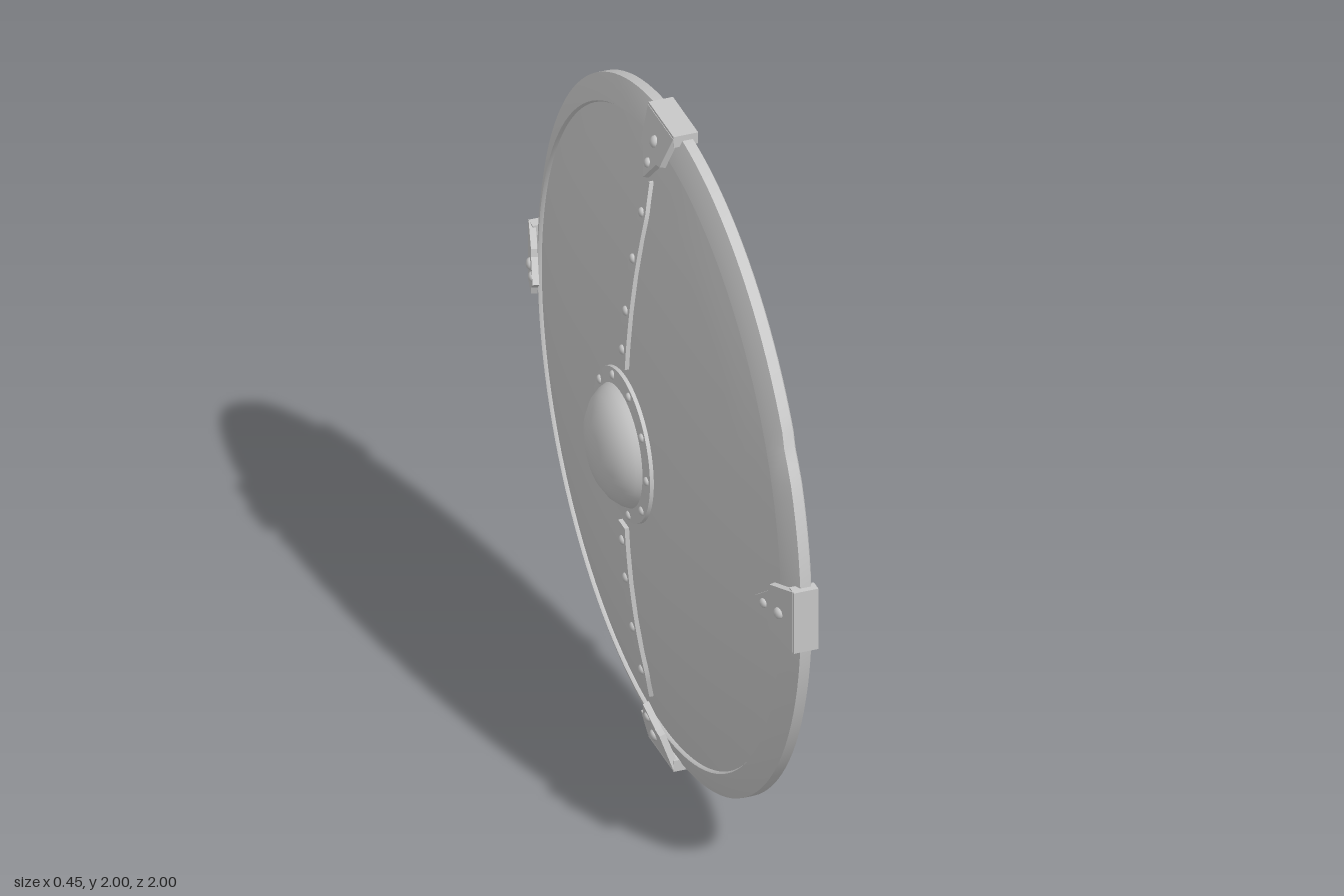
import * as THREE from 'three';
import { toCreasedNormals } from 'three/addons/utils/BufferGeometryUtils.js';

const gray = new THREE.MeshStandardMaterial({ color: 0xc8c8c8 });
gray.name = 'plain gray';

// Height of the domed board towards -x at radius r
const domeHeight = (r) => 0.135 * (1 - Math.pow(r / 0.99, 2.4));
const v2 = (a) => a.map(([x, y]) => new THREE.Vector2(x, y));

function add(parent, name, geometry) {
  const mesh = new THREE.Mesh(geometry, gray);
  mesh.name = name;
  parent.add(mesh);
  return mesh;
}

// Turned part whose axis points along -x
function turned(points, segments) {
  const g = new THREE.LatheGeometry(v2(points), segments);
  g.rotateZ(Math.PI / 2);
  return toCreasedNormals(g, 0.6);
}

function rivet(parent, x, y, z, r) {
  const m = add(parent, 'rivet', new THREE.SphereGeometry(r, 12, 8));
  m.position.set(x, y, z);
  m.scale.x = 0.7;
}

// Tube with an elliptical section that varies along the path
function sweep(points, widths, depths, rings = 64, sides = 16) {
  const curve = new THREE.CatmullRomCurve3(points.map((p) => new THREE.Vector3(...p)));
  const g = new THREE.TubeGeometry(curve, rings, 1, sides, false);
  const frames = curve.computeFrenetFrames(rings, false);
  const pos = g.attributes.position;
  const sample = (list, t) => {
    const f = t * (list.length - 1), i = Math.min(Math.floor(f), list.length - 2);
    const k = f - i, s = k * k * (3 - 2 * k);
    return list[i] + (list[i + 1] - list[i]) * s;
  };
  for (let i = 0; i <= rings; i++) {
    // match the path parameter so each radius belongs to its control point
    const t = curve.getUtoTmapping(i / rings);
    const c = curve.getPointAt(i / rings);
    const w = sample(widths, t), d = sample(depths, t);
    for (let j = 0; j <= sides; j++) {
      const a = (j / sides) * Math.PI * 2;
      const p = c.clone()
        .addScaledVector(frames.normals[i], -Math.cos(a) * w)
        .addScaledVector(frames.binormals[i], Math.sin(a) * d);
      pos.setXYZ(i * (sides + 1) + j, p.x, p.y, p.z);
    }
  }
  g.computeVertexNormals();
  return g;
}

// Bent, tapered metal strip with rivets on the outer face
function makeStrip() {
  const group = new THREE.Group();
  group.name = 'spineStrip';
  const g = new THREE.BoxGeometry(0.024, 0.56, 0.05, 1, 20, 1);
  const p = g.attributes.position;
  for (let i = 0; i < p.count; i++) {
    const r = p.getY(i) + 0.53;
    const taper = r > 0.72 ? 1 - 0.85 * (r - 0.72) / 0.09 : 1;
    p.setXYZ(i, p.getX(i) - domeHeight(r), r, p.getZ(i) * taper);
  }
  add(group, 'strip', toCreasedNormals(g, 0.6));
  for (const r of [0.3, 0.42, 0.58, 0.72]) rivet(group, -domeHeight(r) - 0.012, r, 0, 0.014);
  return group;
}

// Clip folded around the rim, pointing to the centre
function makeClip() {
  const group = new THREE.Group();
  group.name = 'rimClip';
  const outline = [[-0.095, 0], [-0.07, -0.1], [-0.048, -0.105], [0, -0.17], [0.048, -0.105], [0.07, -0.1], [0.095, 0]];
  for (const [name, x] of [['backPlate', 0.028], ['frontPlate', -0.022]]) {
    const plate = new THREE.Group();
    plate.name = name;
    plate.position.set(x, 0.99, 0);
    plate.rotation.z = -0.3;
    const g = new THREE.ExtrudeGeometry(new THREE.Shape(v2(outline)), { depth: 0.018, bevelEnabled: false });
    g.translate(0, 0, -0.009);
    g.rotateY(Math.PI / 2);
    add(plate, 'plate', g);
    const side = x > 0 ? 0.009 : -0.009;
    rivet(plate, side, -0.06, 0, 0.017);
    rivet(plate, side, -0.125, 0, 0.014);
    group.add(plate);
  }
  const fold = add(group, 'fold', new THREE.BoxGeometry(0.07, 0.034, 0.19));
  fold.position.set(0.006, 0.983, 0);
  return group;
}

// One half of the forked end of the handle
function addLobe(parent, ySign, zSign) {
  const pts = [[-0.052, 0.525, 0], [-0.05, 0.575, 0.035], [-0.045, 0.592, 0.075]]
    .map(([x, y, z]) => [x, y * ySign, z * zSign]);
  add(parent, 'forkArm', sweep(pts, [0.026, 0.03, 0.034], [0.026, 0.03, 0.034], 12));
  const knob = add(parent, 'forkKnob', new THREE.SphereGeometry(0.037, 18, 14));
  knob.position.set(...pts[2]);
}

export function createModel() {
  const model = new THREE.Group();
  model.name = 'roundShield';
  const shield = new THREE.Group();
  shield.name = 'shield';
  shield.position.y = 1;
  model.add(shield);

  // Domed board, open behind the boss
  const radii = [0.21, 0.32, 0.43, 0.54, 0.65, 0.75, 0.84, 0.93];
  const inner = radii.map((r) => [r, domeHeight(r) - 0.03]);
  const outer = radii.map((r) => [r, domeHeight(r)]).reverse();
  add(shield, 'board', turned([...inner, ...outer, inner[0]], 96));

  // Raised rim with one small nick
  const rim = new THREE.LatheGeometry(v2([
    [0.91, -0.002], [0.915, -0.012], [0.95, -0.022], [0.975, -0.032], [0.987, -0.026],
    [0.987, 0.004], [0.95, 0.022], [0.915, 0.034], [0.91, 0.026], [0.91, -0.002]]), 128);
  rim.rotateZ(Math.PI / 2);
  const p = rim.attributes.position;
  for (let i = 0; i < p.count; i++) {
    const y = p.getY(i), z = p.getZ(i);
    const d = Math.abs(Math.atan2(y, z) - 0.475);
    if (d < 0.05 && Math.hypot(y, z) > 0.96) {
      const k = 1 - 0.014 * (1 - d / 0.05);
      p.setXYZ(i, p.getX(i), y * k, z * k);
    }
  }
  add(shield, 'rim', toCreasedNormals(rim, 0.6));

  // Hollow central boss with a riveted flange
  add(shield, 'boss', turned([
    [0, 0.215], [0.05, 0.21], [0.1, 0.195], [0.15, 0.168], [0.185, 0.137], [0.212, 0.1],
    [0.217, 0.125], [0.215, 0.142], [0.172, 0.147], [0.165, 0.162], [0.145, 0.186],
    [0.11, 0.209], [0.06, 0.225], [0, 0.23]], 64));
  for (let i = 0; i < 10; i++) {
    const a = (i + 0.5) * Math.PI / 5;
    rivet(shield, -0.144, 0.195 * Math.cos(a), 0.195 * Math.sin(a), 0.013);
  }

  // Spine strips above and below the boss
  for (let i = 0; i < 2; i++) {
    const strip = makeStrip();
    strip.rotation.x = i * Math.PI;
    shield.add(strip);
  }

  // Four rim clips
  for (let i = 0; i < 4; i++) {
    const clip = makeClip();
    clip.rotation.x = i * Math.PI / 2;
    shield.add(clip);
  }

  // Bone-like handle, mirrored about its middle
  const handle = new THREE.Group();
  handle.name = 'handle';
  const half = [[-0.052, 0.575], [-0.06, 0.46], [-0.055, 0.36], [-0.02, 0.275], [0.06, 0.267],
    [0.14, 0.288], [0.188, 0.275], [0.194, 0.22], [0.17, 0.11]];
  const mirror = (list, mid) => [...list, mid, ...[...list].reverse()];
  const path = [...half, [0.152, 0], ...half.map(([x, y]) => [x, -y]).reverse()].map(([x, y]) => [x, y, 0]);
  const widths = mirror([0.036, 0.026, 0.034, 0.044, 0.04, 0.032, 0.022, 0.027, 0.045], 0.056);
  const depths = mirror([0.03, 0.027, 0.034, 0.038, 0.03, 0.023, 0.023, 0.026, 0.029], 0.032);
  add(handle, 'grip', sweep(path, widths, depths, 120));
  for (const y of [1, -1]) for (const z of [1, -1]) addLobe(handle, y, z);
  shield.add(handle);

  return model;
}
